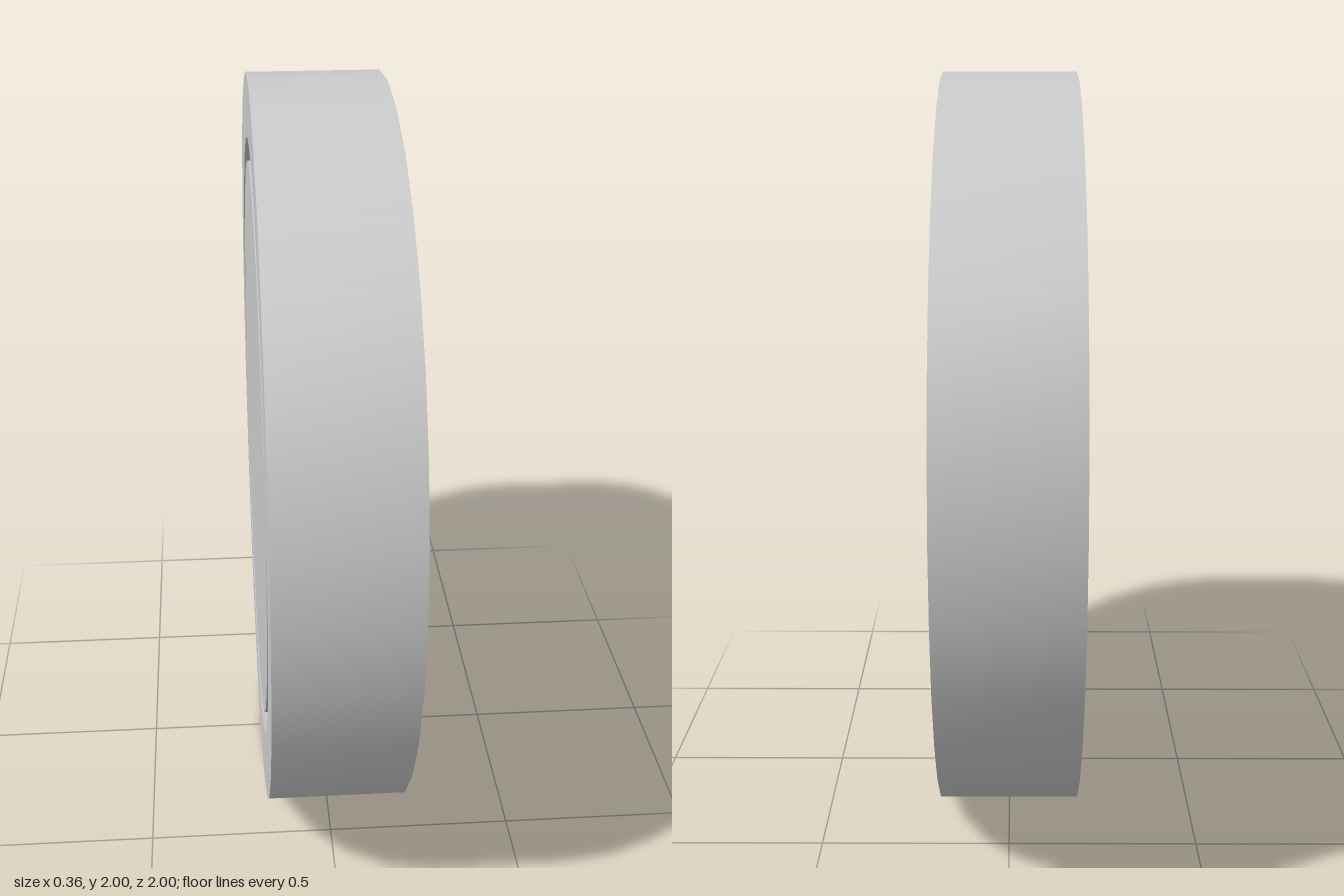
import * as THREE from 'three';
import { toCreasedNormals } from 'three/addons/utils/BufferGeometryUtils.js';

const HALF_WIDTH = 0.178;
const RADIUS = 1;
const GROOVE_OUTER = 0.83;
const GROOVE_INNER = 0.767;
const GROOVE_DEPTH = 0.028;

export function createModel() {
  const group = new THREE.Group();
  group.name = 'wheel';

  // Half profile of one face, from the hub centre out to the rim
  const floor = HALF_WIDTH - GROOVE_DEPTH;
  const face = [
    [0, HALF_WIDTH],
    [GROOVE_INNER, HALF_WIDTH],
    [GROOVE_INNER, floor],
    [GROOVE_OUTER, floor],
    [GROOVE_OUTER, HALF_WIDTH],
    [RADIUS, HALF_WIDTH],
  ];

  // Mirror the face to the other side and spin it around the axle
  const profile = [
    ...face.map(([r, w]) => new THREE.Vector2(r, -w)),
    ...face.map(([r, w]) => new THREE.Vector2(r, w)).reverse(),
  ];
  const lathe = new THREE.LatheGeometry(profile, 32);
  lathe.rotateZ(Math.PI / 2); // axle along x

  // Smooth tread, sharp rim and groove edges
  const disc = new THREE.Mesh(
    toCreasedNormals(lathe, Math.PI / 6),
    new THREE.MeshStandardMaterial({ color: 0xcccccc })
  );
  disc.name = 'groovedDisc';
  disc.position.y = RADIUS;
  group.add(disc);

  return group;
}
